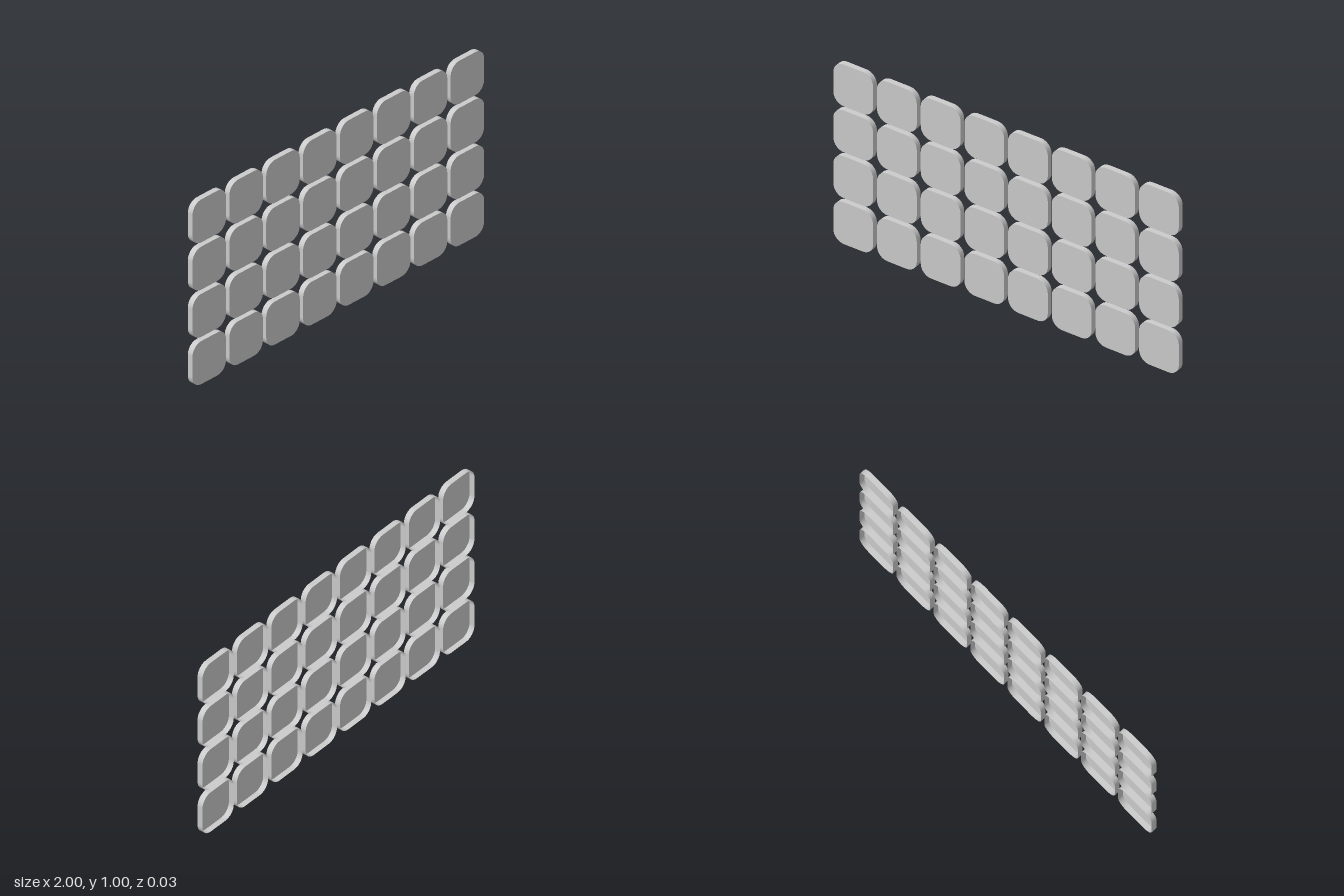
import * as THREE from 'three';

const COLS = 8, ROWS = 4;
const W = 0.23, H = 0.233, DEPTH = 0.03, RADIUS = 0.06, STEPS = 8;

// Rounded rectangle outline, counter-clockwise, with outward normals
function outline() {
  const points = [], normals = [];
  const corners = [[1, 1], [-1, 1], [-1, -1], [1, -1]];
  corners.forEach(([sx, sy], k) => {
    for (let i = 0; i <= STEPS; i++) {
      const a = (k + i / STEPS) * Math.PI / 2;
      const n = new THREE.Vector2(Math.cos(a), Math.sin(a));
      normals.push(n);
      points.push(new THREE.Vector2(
        sx * (W / 2 - RADIUS) + RADIUS * n.x,
        sy * (H / 2 - RADIUS) + RADIUS * n.y));
    }
  });
  return { points, normals };
}

// Thin wall running round the outline, open at the back
function wallGeometry({ points, normals }) {
  const position = [], normal = [], index = [], count = points.length;
  points.forEach((p, i) => {
    const n = normals[i], j = (i + 1) % count;
    position.push(p.x, p.y, -DEPTH / 2, p.x, p.y, DEPTH / 2);
    normal.push(n.x, n.y, 0, n.x, n.y, 0);
    index.push(2 * i, 2 * j, 2 * j + 1, 2 * i, 2 * j + 1, 2 * i + 1);
  });
  const g = new THREE.BufferGeometry();
  g.setAttribute('position', new THREE.Float32BufferAttribute(position, 3));
  g.setAttribute('normal', new THREE.Float32BufferAttribute(normal, 3));
  g.setIndex(index);
  return g;
}

export function createModel() {
  const model = new THREE.Group();
  model.name = 'tilePanel';
  const material = new THREE.MeshStandardMaterial({ color: 0xcccccc, side: THREE.DoubleSide });

  const rim = outline();
  const wall = wallGeometry(rim);
  const face = new THREE.ShapeGeometry(new THREE.Shape(rim.points)).translate(0, 0, DEPTH / 2);

  // Grid of shallow tiles: flat front face and open back
  const pitchX = (2 - W) / (COLS - 1), pitchY = (1 - H) / (ROWS - 1);
  for (let row = 0; row < ROWS; row++) {
    for (let col = 0; col < COLS; col++) {
      const tile = new THREE.Group();
      tile.name = `tile_row${row + 1}_column${col + 1}`;
      const front = new THREE.Mesh(face, material);
      front.name = 'tileFace';
      const side = new THREE.Mesh(wall, material);
      side.name = 'tileWall';
      tile.add(front, side);
      tile.position.set(-1 + W / 2 + col * pitchX, H / 2 + row * pitchY, 0);
      model.add(tile);
    }
  }
  return model;
}
